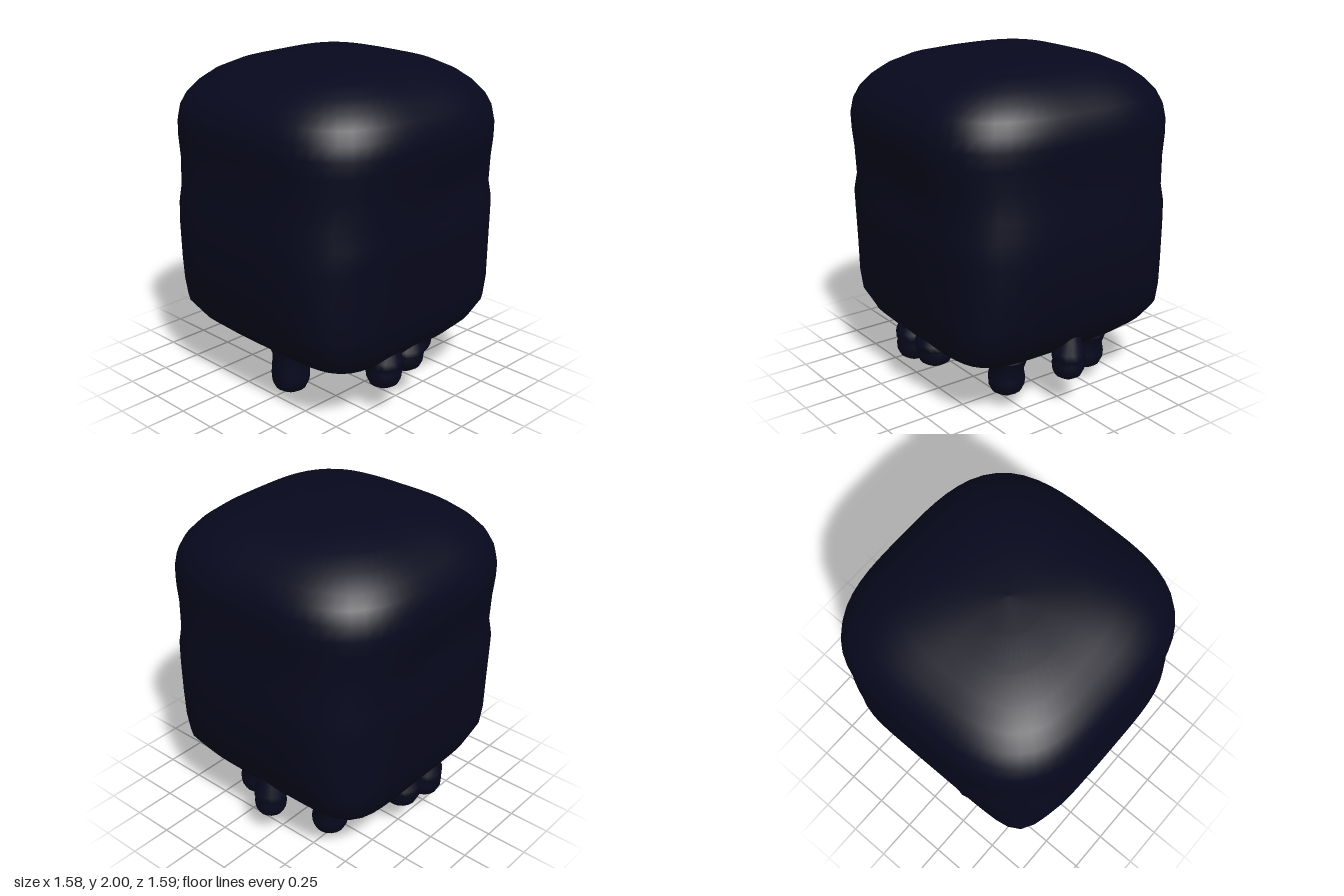
import * as THREE from 'three';

const ink = new THREE.MeshStandardMaterial({ color: 0x07081d });
ink.name = 'midnight ink';

// Body rows from bottom to top: height, half width in x, half depth in z, squareness
const ROWS = [
  [0.29, 0, 0, 4], [0.28, 0.3, 0.3, 4], [0.28, 0.45, 0.48, 4], [0.33, 0.55, 0.59, 5], [0.4, 0.63, 0.655, 6],
  [0.5, 0.695, 0.69, 7.5], [0.62, 0.727, 0.71, 6.2], [0.8, 0.767, 0.725, 4.8], [1.0, 0.79, 0.75, 4],
  [1.13, 0.787, 0.765, 3.8], [1.23, 0.777, 0.745, 3.8], [1.4, 0.765, 0.765, 3.7], [1.52, 0.777, 0.785, 3.5],
  [1.61, 0.783, 0.797, 3.3], [1.69, 0.77, 0.78, 3.3], [1.76, 0.735, 0.745, 3.3], [1.82, 0.68, 0.69, 3.3],
  [1.88, 0.6, 0.61, 3.3], [1.93, 0.5, 0.5, 3.2], [1.965, 0.36, 0.37, 3], [1.99, 0.2, 0.2, 2.5], [2.0, 0, 0, 2],
];

// Rounded-square cross-sections joined into a smooth skin
function bodyGeometry() {
  const n = 72, pos = [], index = [];
  ROWS.forEach(([y, rx, rz, power], j) => {
    for (let i = 0; i < n; i++) {
      const a = (i / n) * Math.PI * 2, c = Math.cos(a), s = Math.sin(a);
      const k = (Math.abs(c) ** power + Math.abs(s) ** power) ** (-1 / power);
      const x = rx * k * c;
      let z = rz * k * s;
      // shallow hollow across the front and back
      const d = ((x - 0.12) / 0.25) ** 2 + ((y - 1.24) / 0.1) ** 2;
      if (Math.abs(z) > 0.6) z -= Math.sign(z) * 0.03 * Math.exp(-d);
      pos.push(x, y, z);
      if (j < ROWS.length - 1) {
        const p = j * n + i, q = j * n + ((i + 1) % n);
        index.push(p, p + n, q, q, p + n, q + n);
      }
    }
  });
  const g = new THREE.BufferGeometry();
  g.setAttribute('position', new THREE.Float32BufferAttribute(pos, 3));
  g.setIndex(index);
  g.computeVertexNormals();
  return g;
}

// Hanging drip: round bulb, column, and a flared root that ends inside the body
function dripGeometry(bottom, r, flare, top) {
  const pts = [[0, 0], [0.45, 0.03], [0.8, 0.25], [0.97, 0.6], [1, 1]]
    .map(([x, y]) => new THREE.Vector2(x * r, bottom + y * r));
  pts.push(
    new THREE.Vector2(r * 0.92, Math.max(0.24, bottom + 1.2 * r)),
    new THREE.Vector2(r * (0.6 + 0.4 * flare), 0.28 + r * 0.2),
    new THREE.Vector2(r * flare, 0.34),
    new THREE.Vector2(0, top),
  );
  return new THREE.LatheGeometry(pts, 16);
}

export function createModel() {
  const group = new THREE.Group();
  group.name = 'drippingBlock';
  const add = (name, geometry, x, z) => {
    const m = new THREE.Mesh(geometry, ink);
    m.name = name;
    m.position.set(x, 0, z);
    group.add(m);
  };
  add('body', bodyGeometry(), 0, 0);

  // Single drips on the centre line
  add('longDrip', dripGeometry(0, 0.115, 1.3, 0.42), -0.38, 0);
  add('sideDrip', dripGeometry(0.17, 0.095, 1.02, 0.62), 0.595, 0);

  // Drips mirrored front and back
  for (const s of [1, -1]) {
    const side = s > 0 ? 'front' : 'back';
    add(side + 'InnerDrip', dripGeometry(0.08, 0.108, 1.3, 0.42), 0.4, s * 0.295);
    add(side + 'OuterDrip', dripGeometry(0.16, 0.105, 1.03, 0.6), -0.17, s * 0.557);
    add(side + 'MiddleDrip', dripGeometry(0.19, 0.11, 1.08, 0.6), 0.03, s * 0.54);
  }
  return group;
}
